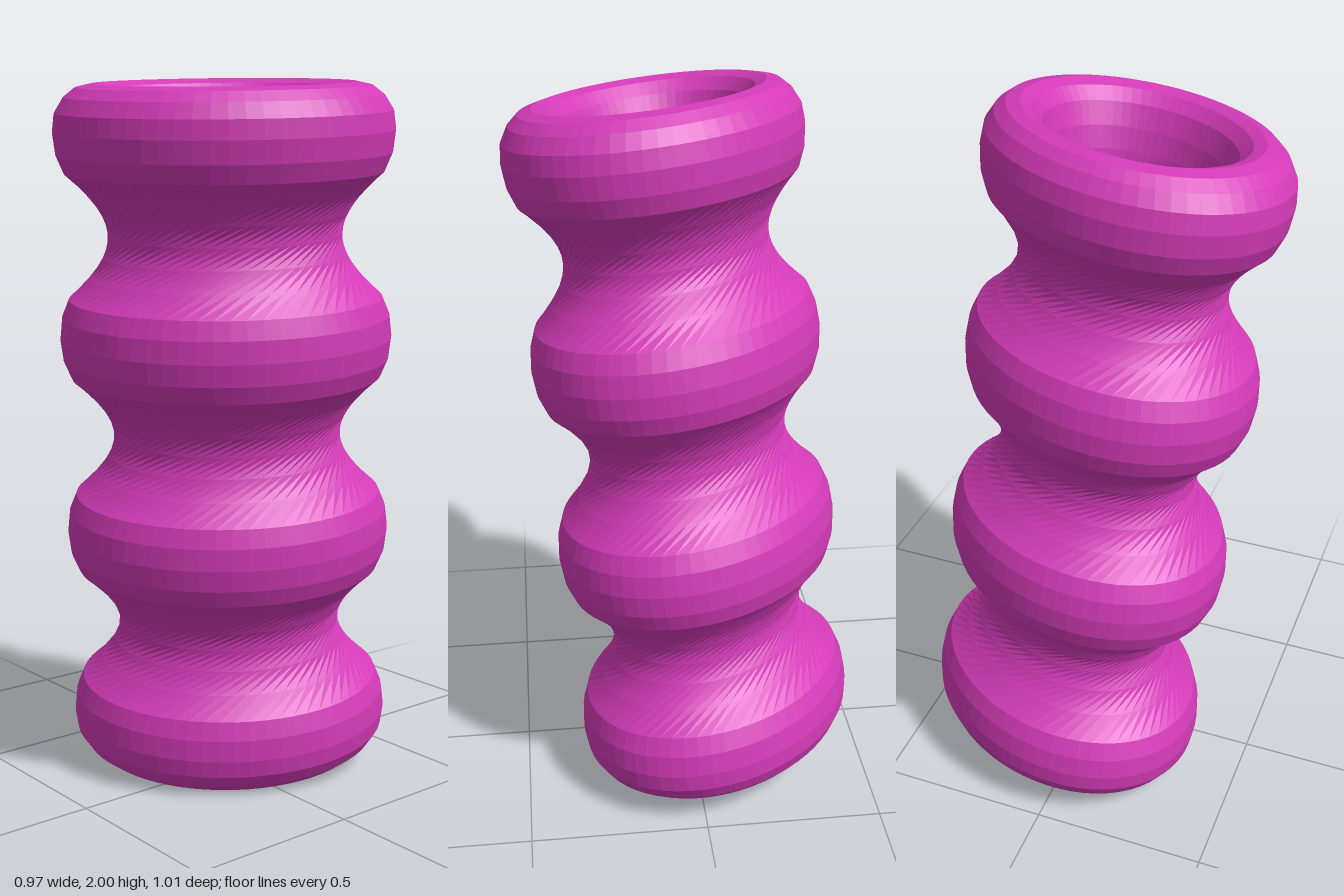
import * as THREE from 'three';

const SEGMENTS = 64;      // points around each ring
const ROWS = 6;           // rows in each twisted waist
const TWIST = 1.47;       // turn of one waist, radians
const LEAN_X = 0.093, LEAN_Z = 0.087;

// Point on a leaning elliptical ring; h is the height from the middle.
function ringPoint(h, r, angle) {
  const a = 0.463 * r * Math.cos(angle), b = 0.376 * r * Math.sin(angle);
  const ex = 0.6 * a + 0.8 * b, ez = -0.8 * a + 0.6 * b;
  return new THREE.Vector3(ex + LEAN_X * h, 1 + h - LEAN_X * ex - LEAN_Z * ez, ez + LEAN_Z * h);
}

// Closed wall profile as [height, radius, number of twists].
function wallProfile() {
  // rolled rim, from the outside over the crest to the inside
  const rim = [
    [0.73, 0.94], [0.78, 0.985], [0.84, 1], [0.89, 0.985], [0.93, 0.93], [0.955, 0.86],
    [0.964, 0.77], [0.952, 0.69], [0.92, 0.62], [0.86, 0.57], [0.8, 0.54], [0.74, 0.525],
  ];
  const bulge = [[-0.11, 0.94], [-0.06, 0.985], [0, 1], [0.06, 0.985], [0.11, 0.94]];
  const topRim = rim.map(([h, r]) => [h, r, 3]);
  const bottomRim = rim.map(([h, r]) => [-h, r, 0]).reverse();
  const outer = (centre, level) => bulge.map(([h, r]) => [centre + h, r, level]);
  const inner = (centre, level) => bulge.map(([h, r]) => [centre - h, r * 0.555, level]);
  return [
    ...bottomRim, ...outer(-0.28, 1), ...outer(0.28, 2),
    ...topRim, ...inner(0.28, 2), ...inner(-0.28, 1),
  ];
}

// Rings joined by straight slanting lines, which pinch in to form the waists.
function twistedWall() {
  const rings = wallProfile().map(([h, r, level]) =>
    Array.from({ length: SEGMENTS }, (_, i) =>
      ringPoint(h, r, (i / SEGMENTS) * Math.PI * 2 - level * TWIST)));
  const levels = wallProfile().map((p) => p[2]);
  const positions = [], indices = [];
  let rowCount = 0;
  rings.forEach((ring, j) => {
    const k = (j + 1) % rings.length;
    const steps = levels[j] === levels[k] ? 1 : ROWS;
    for (let s = 0; s < steps; s++, rowCount++) {
      ring.forEach((p, i) => positions.push(...p.clone().lerp(rings[k][i], s / steps).toArray()));
    }
  });
  for (let j = 0; j < rowCount; j++) {
    const row = j * SEGMENTS, next = ((j + 1) % rowCount) * SEGMENTS;
    for (let i = 0; i < SEGMENTS; i++) {
      const n = (i + 1) % SEGMENTS;
      indices.push(row + i, next + i, row + n, row + n, next + i, next + n);
    }
  }
  const geometry = new THREE.BufferGeometry();
  geometry.setAttribute('position', new THREE.Float32BufferAttribute(positions, 3));
  geometry.setIndex(indices);
  geometry.computeVertexNormals();
  return geometry;
}

export function createModel() {
  const group = new THREE.Group();
  group.name = 'twistedTube';
  const material = new THREE.MeshStandardMaterial({ color: 0xd43bb8, flatShading: true });
  const wall = new THREE.Mesh(twistedWall(), material);
  wall.name = 'tubeWall';
  group.add(wall);
  return group;
}
